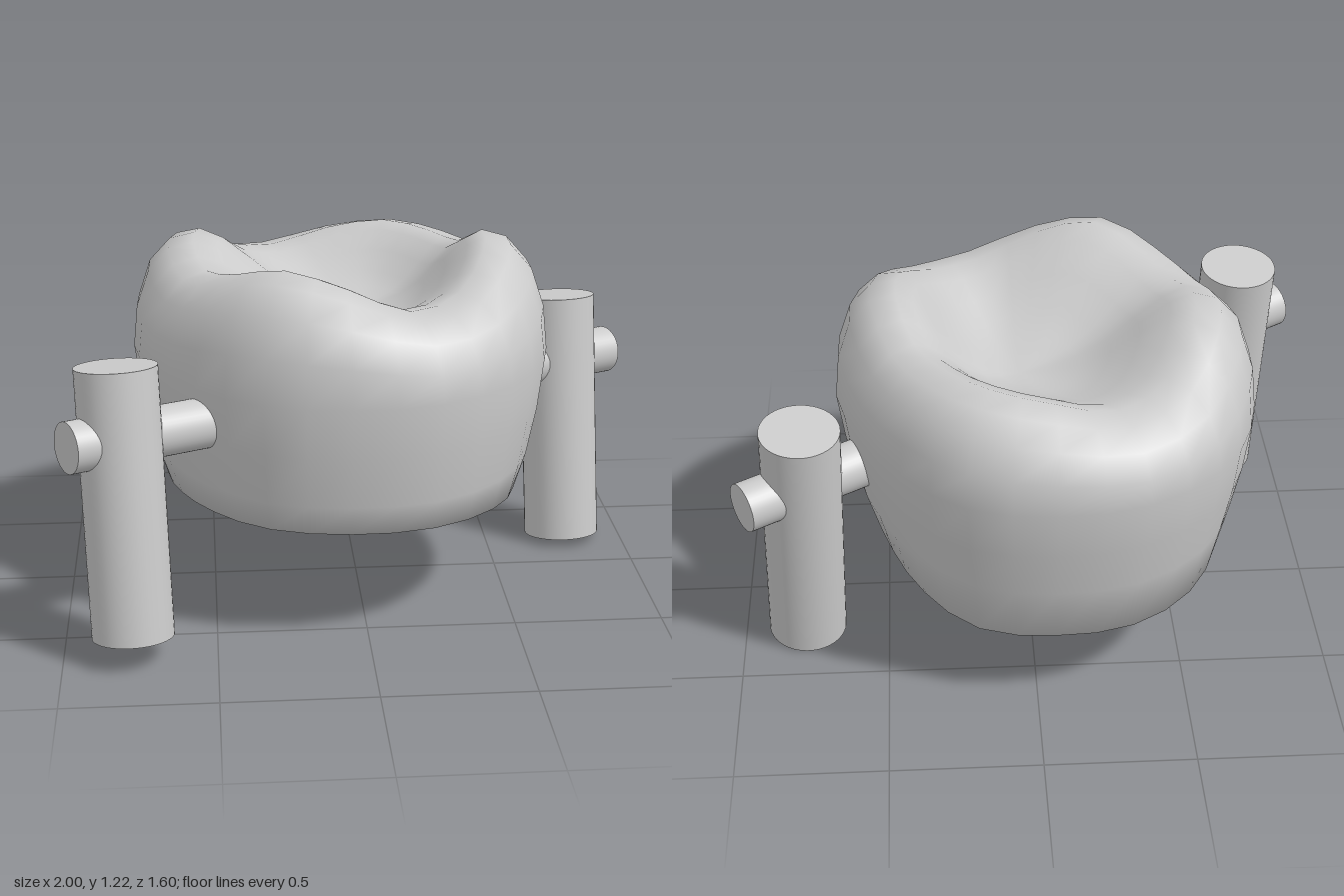
import * as THREE from 'three';
import { mergeVertices } from 'three/addons/utils/BufferGeometryUtils.js';

const material = new THREE.MeshStandardMaterial({ color: 0xcccccc });
const V = (x, y, z) => new THREE.Vector3(x, y, z);

// Smooth lookup in a closed table of values spread evenly around the crown, t in 0..1
// (starting at +x and turning towards +z)
function around(table, t) {
  const n = table.length, i = Math.floor(t * n), f = t * n - i;
  const [a, b, c, d] = [-1, 0, 1, 2].map((k) => table[(i + k + n) % n]);
  return b + 0.5 * f * (c - a + f * (2 * a - 5 * b + 4 * c - d + f * (3 * (b - c) + d - a)));
}

const OUTLINE = [0.71, 0.735, 0.755, 0.765, 0.745, 0.74, 0.70, 0.69, 0.70, 0.72, 0.75, 0.76, 0.75, 0.75, 0.70, 0.68];
const RIDGE = [1.225, 1.2, 1.11, 1.085, 1.17, 1.225, 1.18, 1.15, 1.2, 1.2, 1.1, 1.06, 1.11, 1.145, 1.14, 1.14];
const RIM_Y = [0.36, 0.37, 0.39, 0.40, 0.40, 0.40, 0.39, 0.38, 0.36, 0.33, 0.31, 0.30, 0.30, 0.30, 0.32, 0.34];
const RIM_SCALE = [0.84, 0.87, 0.91, 0.93, 0.93, 0.92, 0.89, 0.86, 0.85, 0.86, 0.87, 0.88, 0.88, 0.88, 0.87, 0.85];

// Molar crown: one profile per angle, from the small hole below, over the cusps, to the pit
function crownGeometry() {
  const segments = 32, positions = [], indices = [];
  const pit = 0.95;
  let rows = 0;
  for (let i = 0; i < segments; i++) {
    const t = i / segments, angle = t * Math.PI * 2;
    const radius = around(OUTLINE, t), ridge = around(RIDGE, t);
    const rimY = around(RIM_Y, t), rim = around(RIM_SCALE, t);
    const rise = ridge - 0.82, bowl = ridge - pit;
    const back = Math.max(0, -Math.sin(angle));
    const profile = [
      [0.05, 0.3], [0.3, 0.28 - 0.025 * back], [0.58, 0.325 - 0.07 * back],
      [rim, rimY], [rim + 0.42 * (1 - rim), 0.5], [rim + 0.78 * (1 - rim), 0.67],
      [1, 0.84], [0.98, 0.82 + 0.42 * rise], [0.92, 0.82 + 0.74 * rise],
      [0.82, 0.82 + 0.94 * rise], [0.7, ridge], [0.6, pit + 0.88 * bowl], [0.48, pit + 0.6 * bowl],
      [0.36, pit + 0.3 * bowl], [0.24, pit + 0.12 * bowl], [0.12, pit + 0.02 * bowl], [0, pit],
    ];
    rows = profile.length - 1;
    profile.forEach(([s, y], k) => {
      // The pit lies off centre
      const shift = k > 10 ? (0.7 - s) / 0.7 : 0;
      positions.push(-0.06 + radius * s * Math.cos(angle) + 0.09 * shift, y,
        -0.05 + radius * s * Math.sin(angle) - 0.07 * shift);
    });
  }
  for (let i = 0; i < segments; i++) {
    for (let j = 0; j < rows; j++) {
      const a = i * (rows + 1) + j, b = ((i + 1) % segments) * (rows + 1) + j;
      indices.push(a, a + 1, b);
      if (j < rows - 1) indices.push(b, a + 1, b + 1);
    }
  }
  const geometry = new THREE.BufferGeometry();
  geometry.setAttribute('position', new THREE.Float32BufferAttribute(positions, 3));
  geometry.setIndex(indices);
  const merged = mergeVertices(geometry, 1e-5);
  merged.computeVertexNormals();
  return merged;
}

// Capped rod between two points
function rod(name, from, to, radius) {
  const axis = to.clone().sub(from);
  const mesh = new THREE.Mesh(new THREE.CylinderGeometry(radius, radius, axis.length(), 40), material);
  mesh.position.copy(from).add(to).multiplyScalar(0.5);
  mesh.quaternion.setFromUnitVectors(V(0, 1, 0), axis.normalize());
  mesh.name = name;
  return mesh;
}

export function createModel() {
  const model = new THREE.Group();
  model.name = 'molarOnPosts';

  const crown = new THREE.Mesh(crownGeometry(), material);
  crown.name = 'molarCrown';
  model.add(crown);

  // Leaning side posts
  model.add(rod('leftPost', V(0.785, 0.018, -0.243), V(0.76, 0.898, -0.357), 0.134));
  model.add(rod('rightPost', V(-0.772, 0.083, 0.67), V(-0.8, 0.963, 0.558), 0.134));

  // Cross pins on one line, running through the posts into the crown
  const outerRight = V(-0.957, 0.737, 0.68), outerLeft = V(0.957, 0.66, -0.44);
  model.add(rod('leftPin', outerLeft, outerLeft.clone().lerp(outerRight, 0.25), 0.084));
  model.add(rod('rightPin', outerRight, outerRight.clone().lerp(outerLeft, 0.25), 0.084));
  return model;
}
